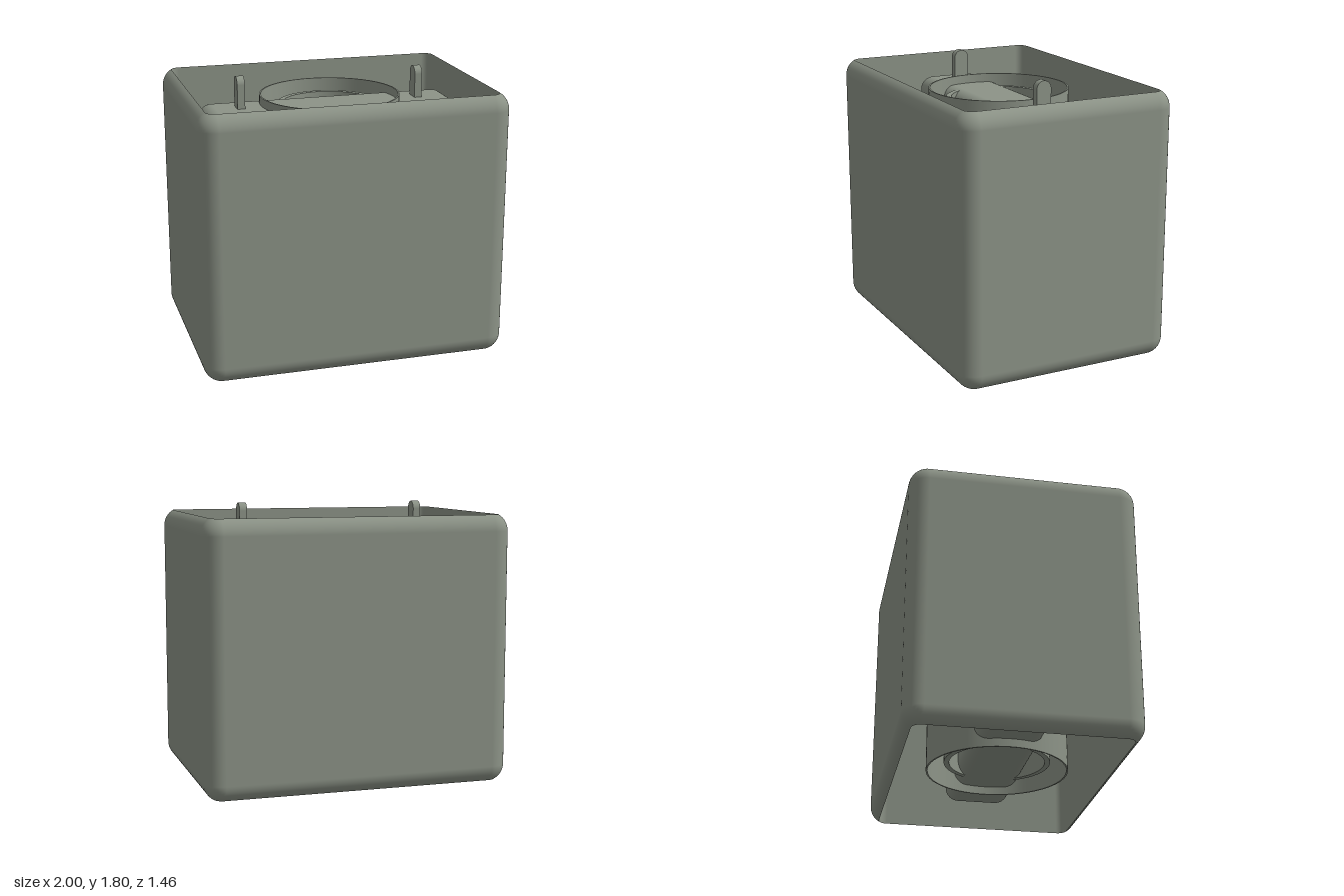
import * as THREE from 'three';
import { toCreasedNormals } from 'three/addons/utils/BufferGeometryUtils.js';
import { RoundedBoxGeometry } from 'three/addons/geometries/RoundedBoxGeometry.js';

const MID = 0.868; // height of the centre of the whole device

// Stacks rounded-rectangle loops; each profile entry is [inset, y].
function loft(halfX, halfZ, radius, profile, inward = false) {
  const pos = [], index = [], steps = 10, n = 4 * (steps + 1);
  const signs = [[1, 1], [-1, 1], [-1, -1], [1, -1]];
  for (const [inset, y] of profile) {
    const r = Math.max(radius - inset, 0.005);
    signs.forEach(([sx, sz], c) => {
      for (let i = 0; i <= steps; i++) {
        const a = (c + i / steps) * Math.PI / 2;
        pos.push(sx * (halfX - inset - r) + r * Math.cos(a), y,
          sz * (halfZ - inset - r) + r * Math.sin(a));
      }
    });
  }
  for (let k = 0; k < profile.length - 1; k++) {
    for (let i = 0; i < n; i++) {
      const a = k * n + i, b = k * n + (i + 1) % n, c = a + n, d = b + n;
      if (inward) index.push(a, b, c, b, d, c);
      else index.push(a, c, b, b, c, d);
    }
  }
  const g = new THREE.BufferGeometry();
  g.setAttribute('position', new THREE.Float32BufferAttribute(pos, 3));
  g.setIndex(index);
  g.computeVertexNormals();
  return g;
}

// Outer profile with edges rounded until the wall thickness is reached.
function roundedProfile(y0, y1, r, wall) {
  const top = [], end = Math.acos((r - wall) / r);
  const lift = r * Math.sin(end);
  for (let i = 0; i <= 8; i++) {
    const a = end * i / 8;
    top.push([r - r * Math.cos(a), y1 - lift + r * Math.sin(a)]);
  }
  const bottom = top.map(([d, y]) => [d, y0 + y1 - y]).reverse();
  return [...bottom, ...top];
}

// Hollow upright tube
function tubeGeometry(outer, inner, y0, y1) {
  const shape = new THREE.Shape().absarc(0, 0, outer, 0, Math.PI * 2);
  shape.holes.push(new THREE.Path().absarc(0, 0, inner, 0, Math.PI * 2, true));
  const g = new THREE.ExtrudeGeometry(shape, { depth: y1 - y0, bevelEnabled: false, curveSegments: 48 });
  g.rotateX(-Math.PI / 2).translate(0, y0, 0);
  return toCreasedNormals(g, 0.6);
}

// Turned part with its axis along z; points are [radius, z]
function turned(points) {
  const g = new THREE.LatheGeometry(points.map(([r, z]) => new THREE.Vector2(r, z)), 48);
  return toCreasedNormals(g.rotateX(Math.PI / 2), 0.5);
}

export function createModel() {
  const model = new THREE.Group();
  model.name = 'device';
  const grey = new THREE.MeshStandardMaterial({ color: 0x8c9387 });
  grey.name = 'sage grey';
  const open = grey;
  open.side = THREE.DoubleSide;

  const add = (name, geometry, x = 0, y = 0, z = 0, parent = model) => {
    const mesh = new THREE.Mesh(geometry, grey);
    mesh.name = name;
    mesh.position.set(x, y, z);
    parent.add(mesh);
    return mesh;
  };

  // Sleeve open at top and bottom
  const sleeve = (name, hx, hz, r, wall, y0, y1, z) => {
    const group = new THREE.Group();
    group.name = name;
    group.position.z = z;
    add(name + 'Outside', loft(hx, hz, r, roundedProfile(y0, y1, r, wall)), 0, 0, 0, group);
    add(name + 'Inside', loft(hx - wall, hz - wall, r - wall, [[0, y0], [0, y1]], true), 0, 0, 0, group);
    model.add(group);
  };
  sleeve('outerCase', 1, 0.73, 0.12, 0.06, 0, 1.732, 0);

  // Main body and the panel on its front
  add('body', new RoundedBoxGeometry(1.7, 1.45, 0.44, 6, 0.09), 0, MID, 0);
  add('frontPanel', new RoundedBoxGeometry(1.1, 1.1, 0.3, 5, 0.06), 0, MID, 0.155);

  // Upright tubes through the body
  add('outerTube', tubeGeometry(0.46, 0.45, 0.09, 1.65));
  add('innerTube', tubeGeometry(0.345, 0.31, 0.15, 1.587));

  // Round core with turned ends
  const core = add('core', new THREE.SphereGeometry(0.59, 48, 32), 0, MID, 0);
  core.scale.z = 0.9;
  add('rearKnob', turned([[0, -0.63], [0.12, -0.625], [0.25, -0.59], [0.31, -0.53], [0.33, -0.45],
    [0.37, -0.43], [0.38, -0.38], [0.33, -0.3], [0.2, -0.25]]), 0, MID, 0);
  add('frontKnob', turned([[0.34, 0.36], [0.33, 0.45], [0.28, 0.51], [0.24, 0.56], [0.2, 0.61], [0, 0.61]]), 0, MID, 0);

  // Rear block beside the body
  add('rearBlock', new RoundedBoxGeometry(0.3, 1, 0.2, 3, 0.02), 0, MID, -0.19);

  // Holders that join the core to the case walls
  for (const s of [-1, 1]) {
    const end = s > 0 ? 'front' : 'rear';
    sleeve(end + 'Holder', 0.28, 0.13, 0.06, 0.035, MID - 0.3, MID + 0.3, s * 0.52);
    add(end + 'MountPlate', new RoundedBoxGeometry(0.6, 0.6, 0.06, 3, 0.025), 0, MID, s * 0.645);
  }

  // Round-topped lugs
  for (const s of [-1, 1]) {
    const lug = new THREE.Group();
    lug.name = s > 0 ? 'leftLug' : 'rightLug';
    lug.position.x = s * 0.6;
    add('lugStem', new THREE.BoxGeometry(0.05, 0.2, 0.1), 0, 1.65, 0, lug);
    add('lugTop', new THREE.CylinderGeometry(0.05, 0.05, 0.05, 32).rotateZ(Math.PI / 2), 0, 1.75, 0, lug);
    model.add(lug);
  }
  return model;
}
